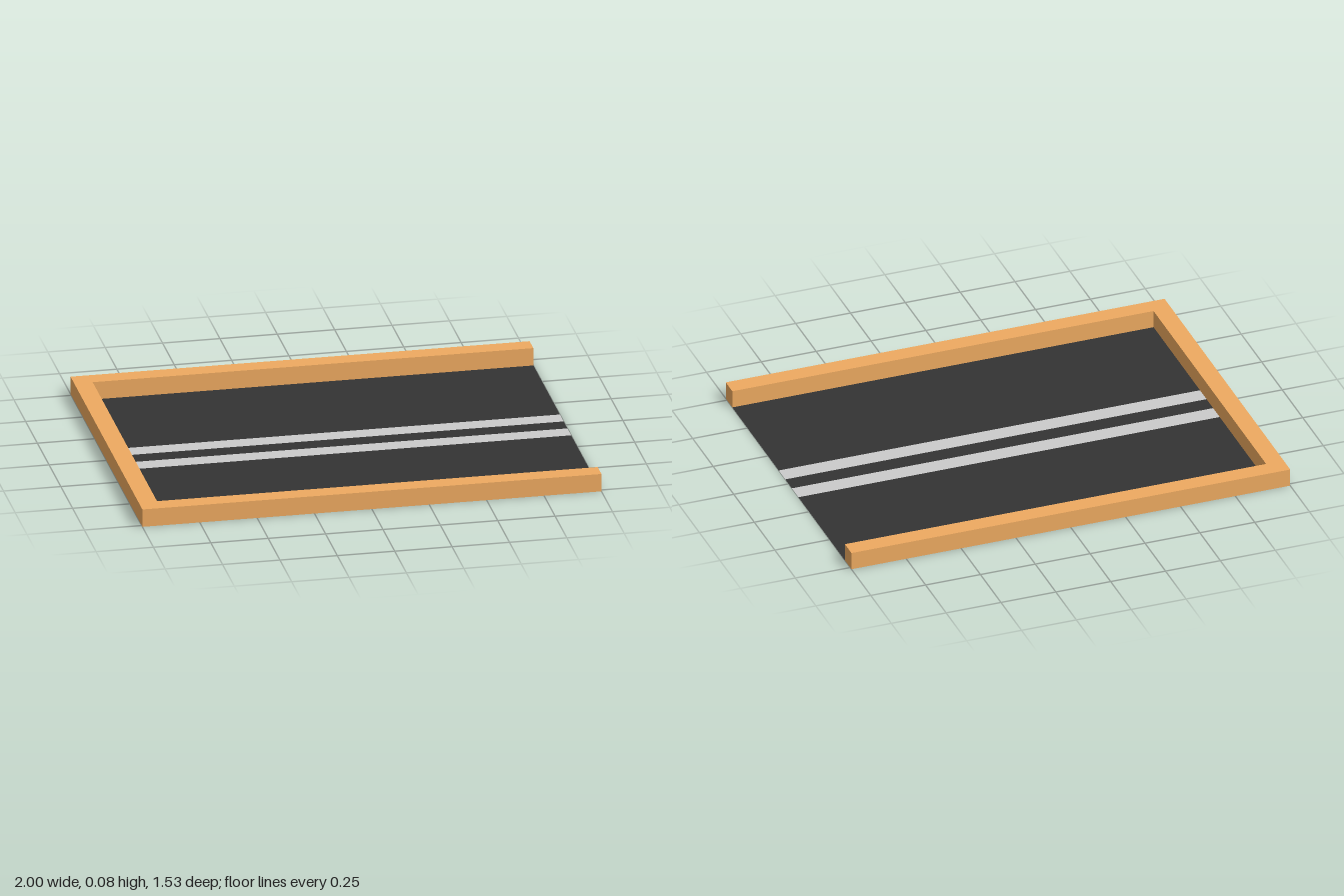
import * as THREE from 'three';

const HEIGHT = 0.08;          // curb height
const RAIL = 0.08;            // curb width
const X = 1, Z = 0.765;       // half extents
const INNER_X = -X + RAIL, INNER_Z = Z - RAIL;

const material = (color) => new THREE.MeshStandardMaterial({ color, side: THREE.DoubleSide });

// Vertical walls following a closed counter-clockwise outline (x, -z)
function wallGeometry(outline, height) {
  const positions = [];
  outline.forEach(([ax, ay], i) => {
    const [bx, by] = outline[(i + 1) % outline.length];
    const a = [ax, 0, -ay], b = [bx, 0, -by];
    const c = [bx, height, -by], d = [ax, height, -ay];
    positions.push(...a, ...b, ...c, ...a, ...c, ...d);
  });
  const geometry = new THREE.BufferGeometry();
  geometry.setAttribute('position', new THREE.Float32BufferAttribute(positions, 3));
  geometry.computeVertexNormals();
  return geometry;
}

// Flat strip on the ground between two z values
function groundStrip(name, z0, z1, mat) {
  const geometry = new THREE.PlaneGeometry(X - INNER_X, z1 - z0).rotateX(-Math.PI / 2);
  const mesh = new THREE.Mesh(geometry, mat);
  mesh.name = name;
  mesh.position.set((X + INNER_X) / 2, 0, (z0 + z1) / 2);
  return mesh;
}

export function createModel() {
  const model = new THREE.Group();
  model.name = 'roadEnd';

  // U-shaped curb: hollow underneath, open towards +x
  const outline = [
    [-X, -Z], [X, -Z], [X, -INNER_Z], [INNER_X, -INNER_Z],
    [INNER_X, INNER_Z], [X, INNER_Z], [X, Z], [-X, Z],
  ];
  const curbMaterial = material(0xeeaa60);
  const curb = new THREE.Group();
  curb.name = 'curb';
  const walls = new THREE.Mesh(wallGeometry(outline, HEIGHT), curbMaterial);
  walls.name = 'curbWalls';
  const shape = new THREE.Shape(outline.map(([x, y]) => new THREE.Vector2(x, y)));
  const top = new THREE.Mesh(new THREE.ShapeGeometry(shape).rotateX(-Math.PI / 2), curbMaterial);
  top.name = 'curbTop';
  top.position.y = HEIGHT;
  curb.add(walls, top);
  model.add(curb);

  // Road surface and the two centre lines, side by side in one plane
  const asphalt = material(0x333333);
  const paint = material(0xcccccc);
  model.add(groundStrip('roadCentre', -0.04, 0.04, asphalt));
  for (const side of [-1, 1]) {
    const strip = (name, near, far, mat) =>
      groundStrip(name, Math.min(side * near, side * far), Math.max(side * near, side * far), mat);
    model.add(strip('centreLine', 0.04, 0.12, paint));
    model.add(strip('roadLane', 0.12, INNER_Z, asphalt));
  }

  return model;
}
